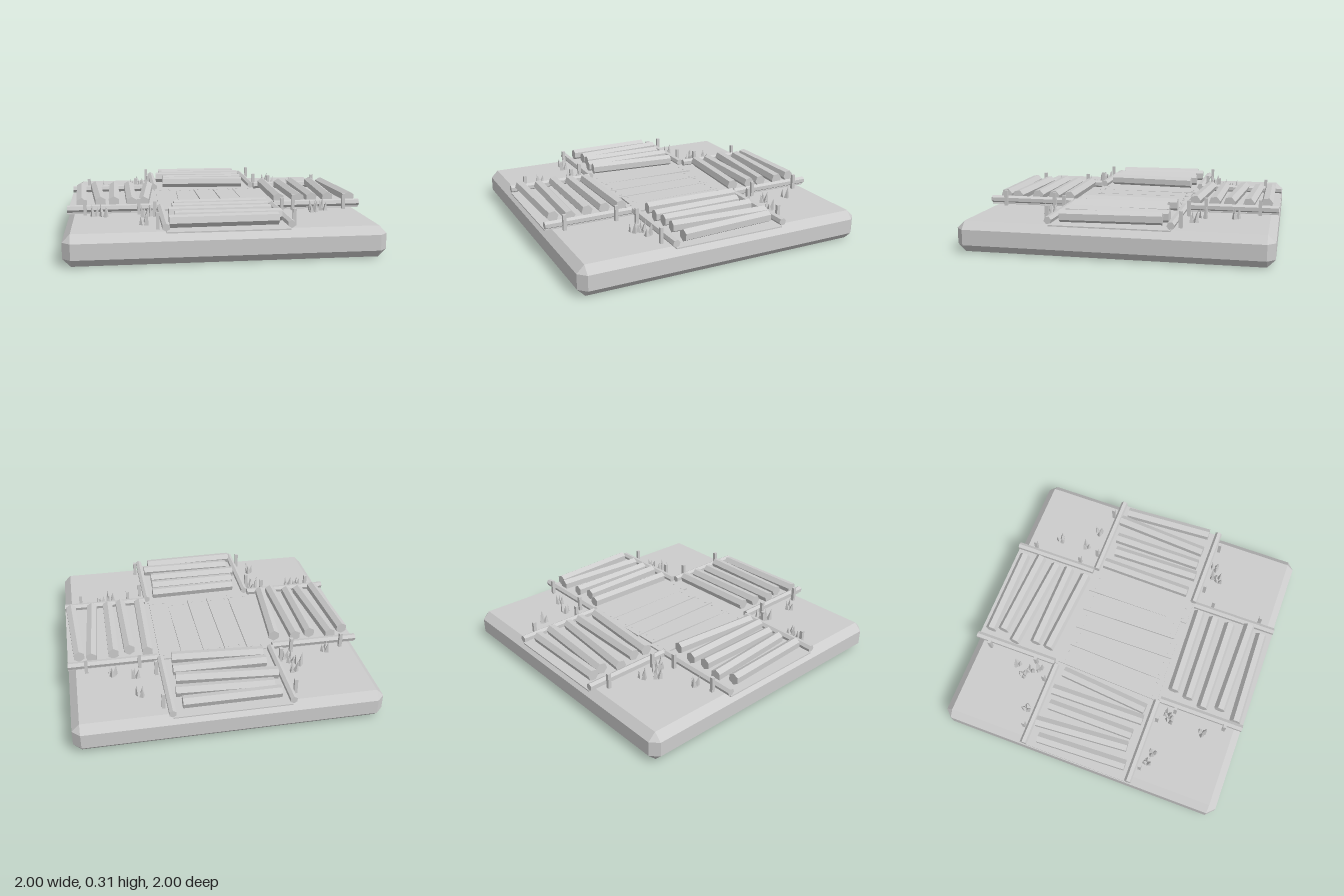
import * as THREE from 'three';
import { ConvexGeometry } from 'three/addons/geometries/ConvexGeometry.js';

export function createModel() {
  const model = new THREE.Group();
  model.name = 'crossroadsTile';
  const stone = new THREE.MeshStandardMaterial({ color: 0xcccccc, flatShading: true });
  stone.name = 'light grey';

  const add = (geometry, name, x = 0, y = 0, z = 0) => {
    const mesh = new THREE.Mesh(geometry, stone);
    mesh.name = name;
    mesh.position.set(x, y, z);
    model.add(mesh);
    return mesh;
  };

  // Six-sided pole lying between two ground points; roll turns its facets
  const pole = (name, x0, z0, x1, z1, y, r, roll) => {
    const dx = x1 - x0, dz = z1 - z0;
    const g = new THREE.CylinderGeometry(r, r, Math.hypot(dx, dz), 6, 1, false, -THREE.MathUtils.degToRad(roll));
    g.rotateZ(-Math.PI / 2);
    g.rotateY(-Math.atan2(dz, dx));
    add(g, name, (x0 + x1) / 2, y, (z0 + z1) / 2);
  };

  // Chamfered ground slab
  const corners = [];
  for (const sx of [-1, 1]) for (const sy of [-1, 1]) for (const sz of [-1, 1]) {
    corners.push(
      new THREE.Vector3(sx, 0.1 + sy * 0.05, sz * 0.95),
      new THREE.Vector3(sx * 0.95, 0.1 + sy * 0.1, sz * 0.95),
      new THREE.Vector3(sx * 0.95, 0.1 + sy * 0.05, sz));
  }
  add(new ConvexGeometry(corners), 'groundSlab');

  // Thin path bed in the shape of a cross
  add(new THREE.BoxGeometry(0.76, 0.008, 2), 'pathBed', 0, 0.203, 0);
  for (const s of [-1, 1]) add(new THREE.BoxGeometry(0.62, 0.008, 0.76), 'pathBedArm', s * 0.69, 0.203, 0);

  // Rails and posts beside the four arms
  for (const sx of [-1, 1]) for (const sz of [-1, 1]) {
    pole('rail', sx * 0.382, sz * 0.4, sx * 0.382, sz, 0.236, 0.025, 30);
    pole('rail', Math.min(sx, sx * 0.4), sz * 0.382, Math.max(sx, sx * 0.4), sz * 0.382, 0.236, 0.025, -10);
    for (const d of [0.525, 0.88]) {
      add(new THREE.BoxGeometry(0.022, 0.105, 0.022), 'post', sx * 0.425, 0.2525, sz * d);
      add(new THREE.BoxGeometry(0.022, 0.105, 0.022), 'post', sx * d, 0.2525, sz * 0.425);
    }
  }

  // Logs across the front and back arms: x0, z0, x1, z1
  const crossLogs = [
    [-0.32, -0.92, 0.31, -0.92], [-0.295, -0.835, 0.335, -0.8], [-0.35, -0.725, 0.315, -0.67],
    [-0.305, -0.58, 0.32, -0.57], [-0.31, -0.48, 0.31, -0.435],
    [-0.295, 0.465, 0.33, 0.45], [-0.315, 0.575, 0.32, 0.565], [-0.345, 0.69, 0.315, 0.685],
    [-0.315, 0.81, 0.355, 0.82], [-0.36, 0.935, 0.315, 0.92]];
  for (const [x0, z0, x1, z1] of crossLogs) pole('log', x0, z0, x1, z1, 0.258, 0.04, -10);

  // Logs across the left and right arms
  const sideLogs = [
    [-0.933, -0.295, -0.905, 0.33], [-0.83, -0.35, -0.78, 0.3], [-0.69, -0.31, -0.69, 0.3],
    [-0.58, -0.33, -0.57, 0.335], [-0.435, -0.305, -0.49, 0.325],
    [0.46, -0.34, 0.45, 0.315], [0.58, -0.295, 0.59, 0.33], [0.69, -0.325, 0.685, 0.315],
    [0.84, -0.35, 0.8, 0.315], [0.92, -0.32, 0.955, 0.315]];
  for (const [x0, z0, x1, z1] of sideLogs) pole('log', x0, z0, x1, z1, 0.26, 0.04, 30);

  // Uneven planks on the central square: back left, back right, back z, front left, front right, front z
  const planks = [
    [-0.365, -0.235, -0.38, -0.395, -0.24, 0.38], [-0.215, -0.08, -0.35, -0.24, -0.075, 0.37],
    [-0.075, 0.07, -0.36, -0.065, 0.075, 0.37], [0.075, 0.225, -0.365, 0.085, 0.23, 0.34],
    [0.23, 0.38, -0.38, 0.23, 0.37, 0.385]];
  for (const [bl, br, bz, fl, fr, fz] of planks) {
    const shape = new THREE.Shape([[fl, -fz], [fr, -fz], [br, -bz], [bl, -bz]].map(p => new THREE.Vector2(...p)));
    const g = new THREE.ExtrudeGeometry(shape, { depth: 0.015, bevelEnabled: false });
    g.rotateX(-Math.PI / 2);
    add(g, 'plank', 0, 0.203, 0);
    // Nail heads at both ends
    for (const [l, r, z] of [[bl, br, bz + 0.04], [fl, fr, fz - 0.04]]) for (const x of [l + 0.03, r - 0.03]) {
      add(new THREE.CylinderGeometry(0.007, 0.007, 0.006, 6), 'nail', x, 0.219, z);
    }
  }

  // Grass tufts: three leaning spikes each
  const tufts = [
    [-0.76, -0.46], [-0.48, -0.65], [-0.54, -0.58], [-0.49, -0.545], [-0.46, -0.49],
    [0.55, -0.73], [0.565, -0.53], [0.71, -0.48], [-0.82, 0.46], [-0.75, 0.475],
    [-0.49, 0.51], [-0.45, 0.48], [-0.5, 0.75], [0.645, 0.5], [0.66, 0.455], [0.73, 0.445]];
  tufts.forEach(([x, z], i) => {
    for (let k = 0; k < 3; k++) {
      const a = i * 1.3 + k * Math.PI * 2 / 3;
      const h = 0.06 + 0.012 * ((i + k) % 3);
      const g = new THREE.ConeGeometry(0.02, h, 4);
      g.translate(0, h / 2, 0);
      g.rotateZ(-0.15);
      g.rotateY(-a);
      add(g, 'grassSpike', x + 0.016 * Math.cos(a), 0.198, z + 0.016 * Math.sin(a));
    }
  });

  return model;
}
